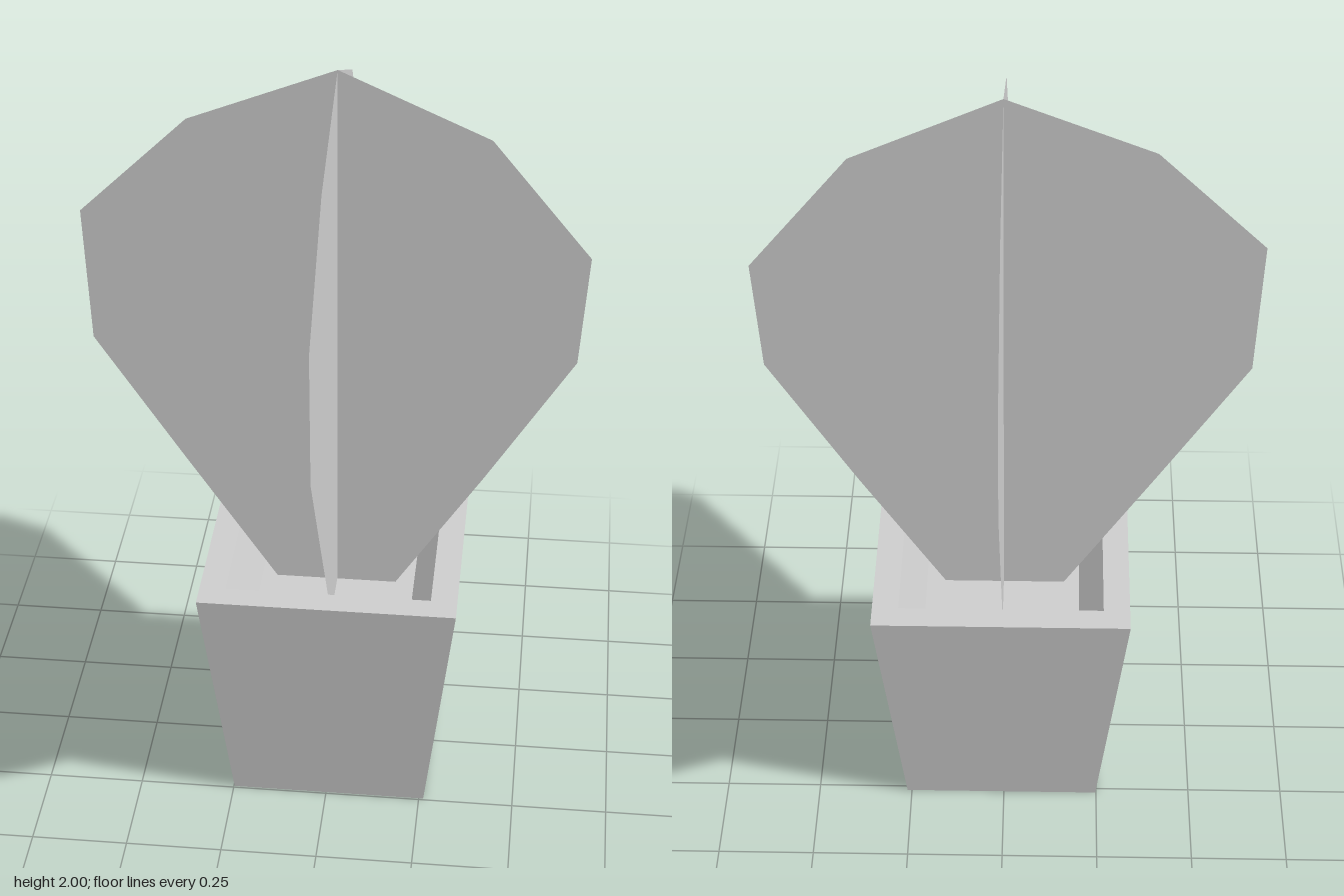
import * as THREE from 'three';

// Square ring profile (half-width, height) swept round four sides with flat faces
function squareLathe(profile) {
  const points = profile.map(([halfWidth, y]) => new THREE.Vector2(halfWidth * Math.SQRT2, y));
  const geometry = new THREE.LatheGeometry(points, 4, Math.PI / 4).toNonIndexed();
  geometry.computeVertexNormals();
  return geometry;
}

export function createModel() {
  const group = new THREE.Group();
  const grey = new THREE.MeshStandardMaterial({ color: 0xcccccc, side: THREE.DoubleSide });
  grey.name = 'plain grey';

  // Tapered square planter: base, outer walls, rim, sloping inner walls, soil
  const pot = new THREE.Mesh(squareLathe([
    [0, 0], [0.255, 0], [0.33, 0.665], [0.2625, 0.665], [0.2025, 0.53], [0, 0.53],
  ]), grey);
  pot.name = 'pot';
  pot.position.set(0.007, 0, -0.01);
  group.add(pot);

  // Foliage: one flat outline, used twice as crossed cards
  const outline = new THREE.Shape([
    [0.16, 0.53], [0.38, 0.87], [0.605, 1.235], [0.625, 1.53], [0.375, 1.835], [0.005, 2],
    [-0.36, 1.857], [-0.63, 1.597], [-0.615, 1.24], [-0.39, 0.89], [-0.155, 0.53],
  ].map(([x, y]) => new THREE.Vector2(x, y)));
  const leafGeometry = new THREE.ShapeGeometry(outline);

  ['foliageAcross', 'foliageAlong'].forEach((name, i) => {
    const card = new THREE.Mesh(leafGeometry, grey);
    card.name = name;
    card.rotation.y = i * Math.PI / 2;
    card.position.set(i * 0.005, 0, i ? 0 : -0.005);
    group.add(card);
  });

  return group;
}
